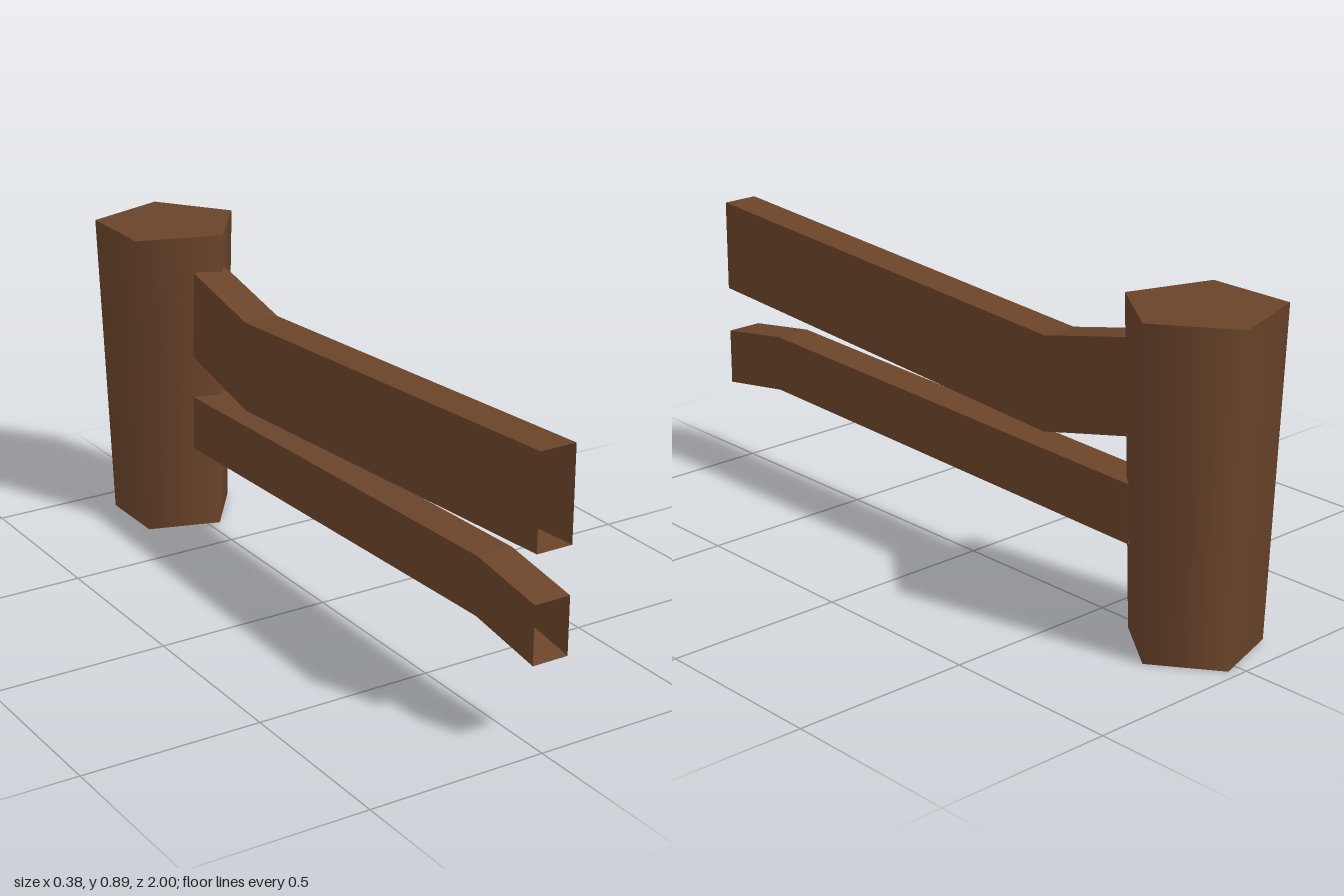
import * as THREE from 'three';

const wood = new THREE.MeshStandardMaterial({ color: 0x6b442a, side: THREE.DoubleSide });
wood.name = 'brown wood';

// Hollow rail, open at both ends; each section is [bottomZ, bottomY, topZ, topY]
function rail(name, sections) {
  const x0 = -0.038, x1 = 0.066;
  const rings = sections.map(([bz, by, tz, ty]) => [
    [x0, by, bz], [x1, by, bz], [x1, ty, tz], [x0, ty, tz],
  ]);
  const pos = [];
  for (let s = 0; s < rings.length - 1; s++) {
    const a = rings[s], b = rings[s + 1];
    for (let i = 0; i < 4; i++) {
      const j = (i + 1) % 4;
      pos.push(...a[i], ...b[i], ...b[j], ...a[i], ...b[j], ...a[j]);
    }
  }
  const geo = new THREE.BufferGeometry();
  geo.setAttribute('position', new THREE.Float32BufferAttribute(pos, 3));
  geo.computeVertexNormals();
  const mesh = new THREE.Mesh(geo, wood);
  mesh.name = name;
  return mesh;
}

export function createModel() {
  const model = new THREE.Group();
  model.name = 'fence';

  // Five-sided tapered post, open underneath, with a flat top
  const height = 0.893, topR = 0.211, bottomR = 0.181;
  const post = new THREE.Group();
  post.name = 'post';
  post.position.set(-0.021, 0, -0.8);
  const sides = new THREE.Mesh(
    new THREE.CylinderGeometry(topR, bottomR, height, 5, 1, true, Math.PI / 2), wood);
  sides.name = 'postSides';
  sides.position.y = height / 2;
  const top = new THREE.Mesh(new THREE.CircleGeometry(topR, 5), wood);
  top.name = 'postTop';
  top.rotation.x = -Math.PI / 2;
  top.position.y = height;
  post.add(sides, top);
  model.add(post);

  // Bent rails running forward from the post
  model.add(rail('upperRail', [
    [1, 0.54, 1, 0.8],
    [-0.34, 0.463, -0.34, 0.723],
    [-0.638, 0.533, -0.623, 0.788],
  ]));
  model.add(rail('lowerRail', [
    [1, 0.247, 1, 0.408],
    [0.765, 0.284, 0.765, 0.445],
    [-0.65, 0.247, -0.643, 0.408],
  ]));
  return model;
}
